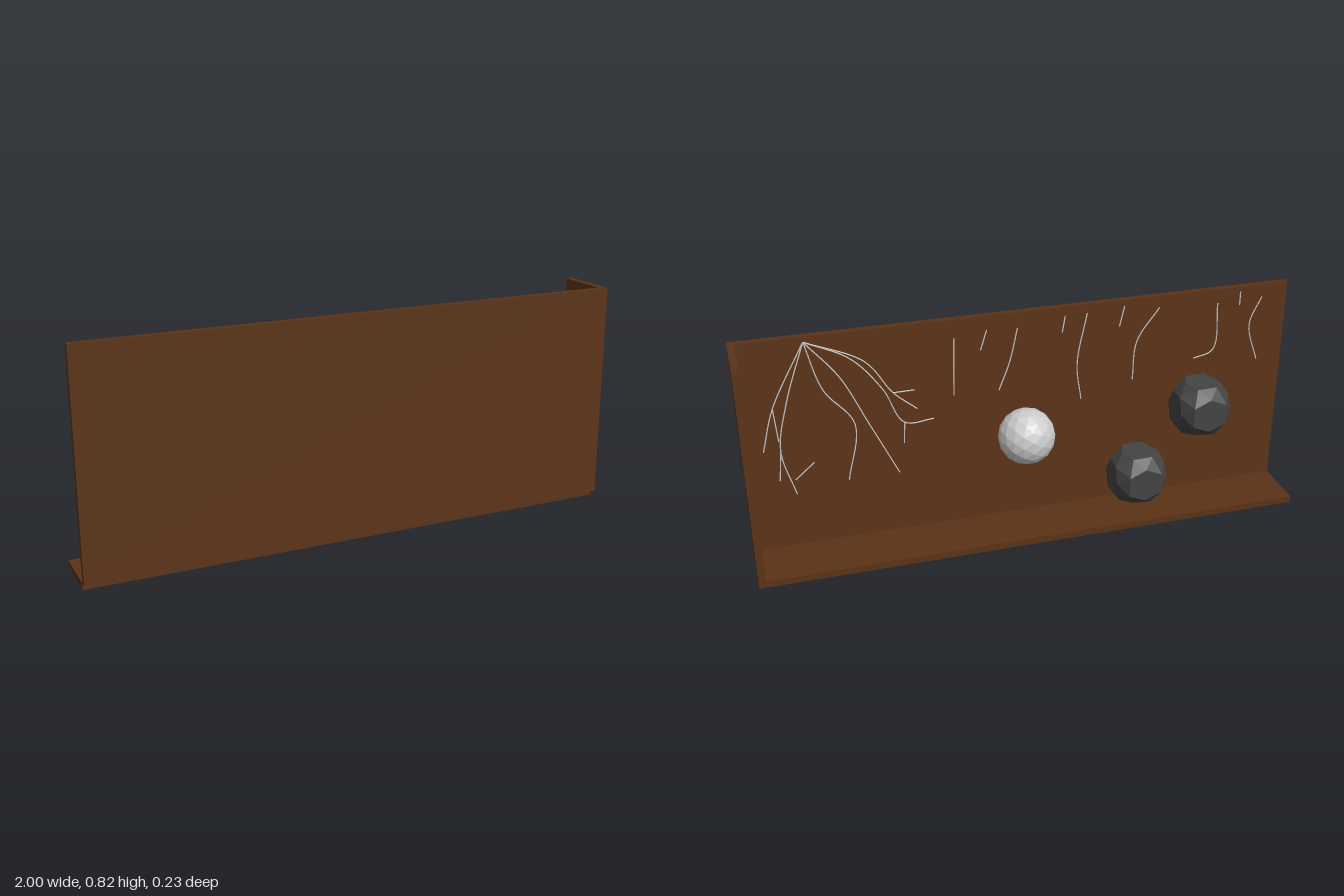
import * as THREE from 'three';

const mat = (color, flatShading = false) => new THREE.MeshStandardMaterial({ color, flatShading });

export function createModel() {
  const model = new THREE.Group();
  const wood = mat(0x5c3317), stone = mat(0x444444, true);
  const pale = mat(0xcccccc, true), rootMat = mat(0xcccccc);

  const add = (name, geometry, material, x, y, z) => {
    const mesh = new THREE.Mesh(geometry, material);
    mesh.name = name;
    mesh.position.set(x, y, z);
    model.add(mesh);
    return mesh;
  };

  // Open wooden case: wall, floor and one end
  add('wall', new THREE.BoxGeometry(2, 0.8, 0.025), wood, 0, 0.425, 0.1025);
  add('floor', new THREE.BoxGeometry(2, 0.025, 0.2), wood, 0, 0.0125, -0.01);
  add('endPanel', new THREE.BoxGeometry(0.025, 0.8, 0.2), wood, 0.9875, 0.425, -0.01);

  // Faceted ball
  add('ball', new THREE.IcosahedronGeometry(0.102, 2), pale, 0.02, 0.395, -0.013);

  // Rocks: low-poly balls squared off, with a flattened top
  const rockGeometry = () => {
    const g = new THREE.IcosahedronGeometry(0.118, 1);
    const p = g.attributes.position;
    const v = new THREE.Vector3();
    for (let i = 0; i < p.count; i++) {
      v.fromBufferAttribute(p, i);
      // position-based jitter keeps shared corners together
      v.multiplyScalar(1 + 0.05 * Math.sin(v.x * 57 + v.y * 83 + v.z * 41));
      v.x = THREE.MathUtils.clamp(v.x, -0.097, 0.097);
      v.z = THREE.MathUtils.clamp(v.z, -0.097, 0.097);
      v.y = THREE.MathUtils.clamp(v.y, -0.11, 0.095);
      p.setXYZ(i, v.x, v.y, v.z);
    }
    g.computeVertexNormals();
    return g;
  };
  add('upperRock', rockGeometry(), stone, -0.64, 0.42, -0.008);
  add('lowerRock', rockGeometry(), stone, -0.405, 0.17, -0.008);

  // Roots lying on the inner wall, as x, y pairs
  const crown = [0.757, 0.806];
  const roots = [
    // main cluster
    [...crown, 0.879, 0.575, 0.925, 0.415],
    [...crown, 0.832, 0.587, 0.867, 0.41, 0.827, 0.233],
    [...crown, 0.705, 0.621, 0.607, 0.479, 0.642, 0.261],
    [...crown, 0.647, 0.663, 0.56, 0.476, 0.462, 0.262],
    [...crown, 0.607, 0.726, 0.503, 0.597, 0.434, 0.459, 0.329, 0.459],
    [...crown, 0.56, 0.71, 0.468, 0.579, 0.387, 0.506],
    // twigs
    [0.468, 0.579, 0.393, 0.58],
    [0.434, 0.459, 0.439, 0.378],
    [0.827, 0.29, 0.757, 0.35],
    [0.867, 0.41, 0.88, 0.295],
    [0.879, 0.575, 0.87, 0.45],
    // separate strands
    [0.249, 0.757, 0.255, 0.54],
    [0.133, 0.773, 0.156, 0.7],
    [0.023, 0.768, 0.052, 0.642, 0.092, 0.537],
    [-0.15, 0.792, -0.14, 0.73],
    [-0.231, 0.793, -0.197, 0.6, -0.214, 0.459],
    [-0.37, 0.804, -0.353, 0.727],
    [-0.503, 0.782, -0.422, 0.661, -0.41, 0.511],
    [-0.728, 0.773, -0.722, 0.59, -0.647, 0.563],
    [-0.815, 0.807, -0.815, 0.755],
    [-0.902, 0.778, -0.861, 0.673, -0.902, 0.527],
  ];
  roots.forEach((r) => {
    const pts = [];
    for (let i = 0; i < r.length; i += 2) pts.push(new THREE.Vector3(r[i], r[i + 1], 0));
    const curve = new THREE.CatmullRomCurve3(pts);
    add('root', new THREE.TubeGeometry(curve, 6 * pts.length, 0.0025, 6), rootMat, 0, 0, 0.0895);
  });

  return model;
}
